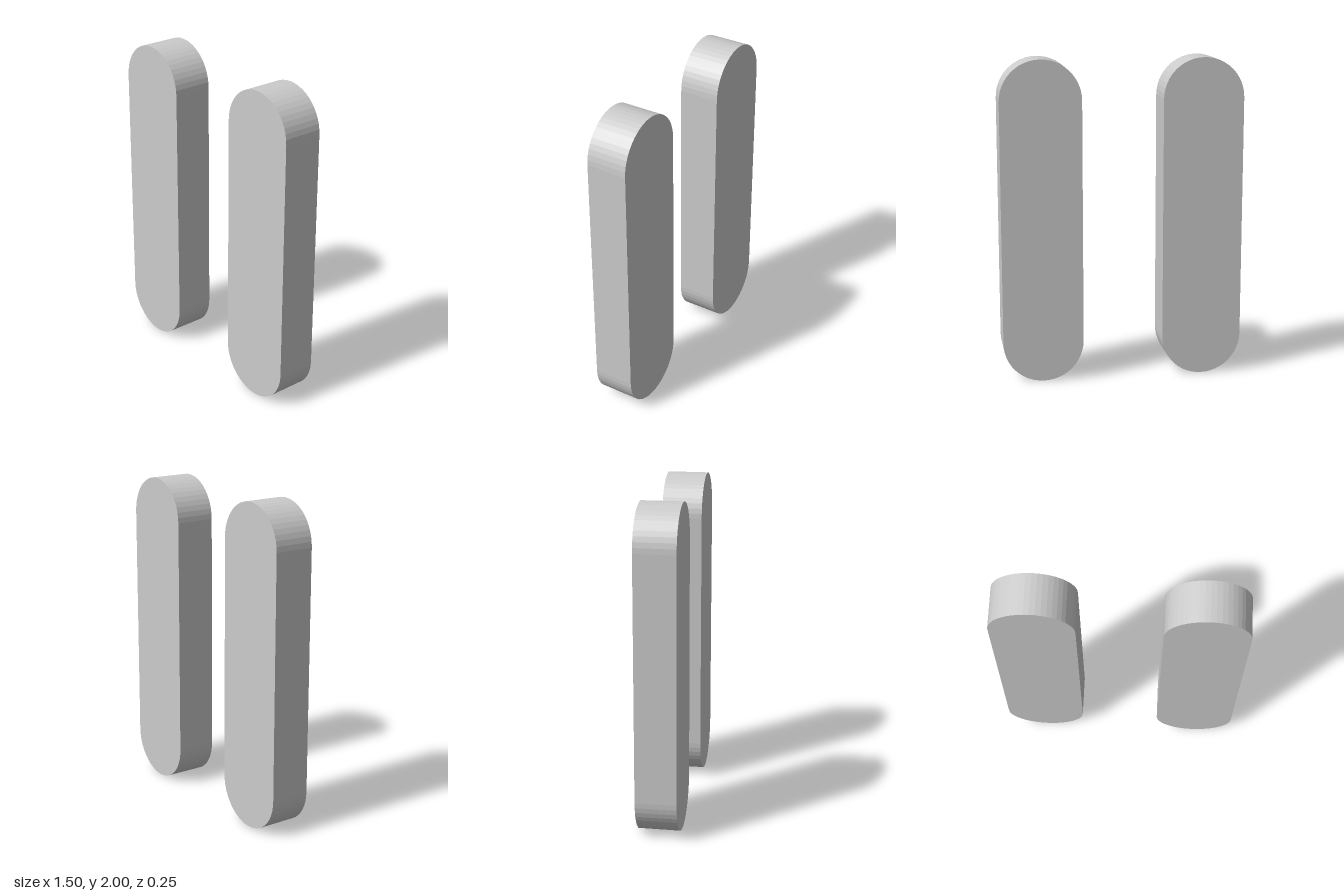
import * as THREE from 'three';

const RADIUS = 0.25, HEIGHT = 2, DEPTH = 0.25, OFFSET = 0.5;

// Upright slab with fully rounded ends, standing on y = 0
function slabGeometry() {
  const shape = new THREE.Shape();
  shape.absarc(0, HEIGHT - RADIUS, RADIUS, 0, Math.PI, false);
  shape.absarc(0, RADIUS, RADIUS, Math.PI, Math.PI * 2, false);
  shape.closePath();
  const geometry = new THREE.ExtrudeGeometry(shape, {
    depth: DEPTH, bevelEnabled: false, curveSegments: 12,
  });
  return geometry.translate(0, 0, -DEPTH / 2);
}

export function createModel() {
  const model = new THREE.Group();
  model.name = 'pairOfBars';
  const material = new THREE.MeshStandardMaterial({ color: 0xcccccc, flatShading: true });
  const geometry = slabGeometry();

  // Two identical bars, side by side
  for (const [name, side] of [['leftBar', 1], ['rightBar', -1]]) {
    const bar = new THREE.Mesh(geometry, material);
    bar.name = name;
    bar.position.x = side * OFFSET;
    model.add(bar);
  }
  return model;
}
